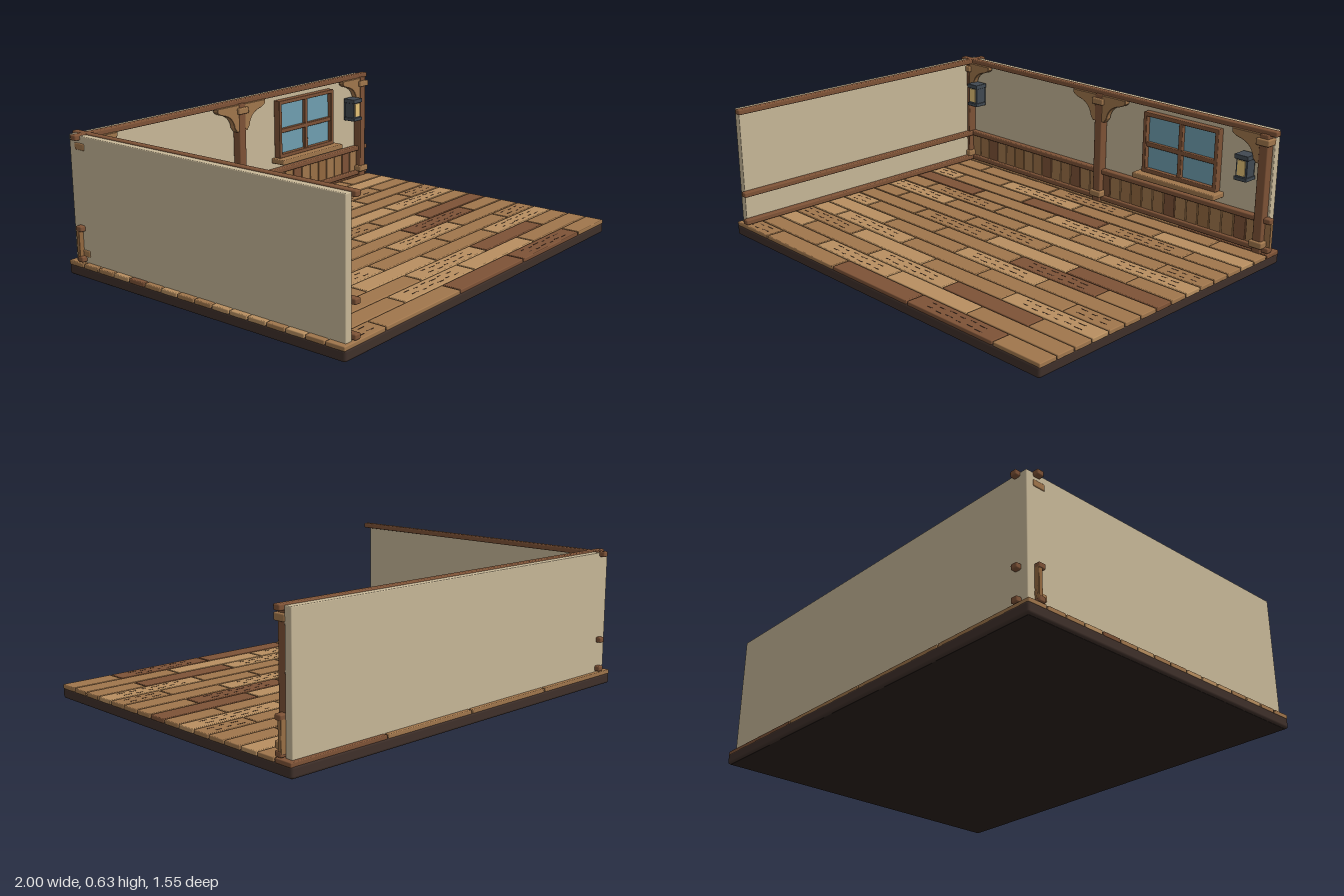
import * as THREE from 'three';
import { RoundedBoxGeometry } from 'three/addons/geometries/RoundedBoxGeometry.js';

const mat = (color) => new THREE.MeshStandardMaterial({ color });
const M = {
  base: mat(0x3f302a), under: mat(0x2a211d), cream: mat(0xc8b898), beam: mat(0x7d5236),
  L: mat(0xb88f60), M: mat(0xa0764c), D: mat(0x7d5236), grain: mat(0x4a3325),
  iron: mat(0x414951), glow: mat(0xe6c377), glass: mat(0x6f9fb0),
};

// Box given by its limits; r > 0 softens the edges
function box(parent, name, m, [x0, x1], [y0, y1], [z0, z1], r = 0) {
  const w = x1 - x0, h = y1 - y0, d = z1 - z0;
  const geo = r > 0 ? new RoundedBoxGeometry(w, h, d, 2, r) : new THREE.BoxGeometry(w, h, d);
  const mesh = new THREE.Mesh(geo, m);
  mesh.position.set((x0 + x1) / 2, (y0 + y1) / 2, (z0 + z1) / 2);
  mesh.name = name;
  parent.add(mesh);
  return mesh;
}

function group(parent, name) {
  const g = new THREE.Group();
  g.name = name;
  parent.add(g);
  return g;
}

// Staggered floor boards, one string of shades per row
const ROWS = ['MMMD', 'MMMMM', 'MLML', 'LMDMM', 'DMLM', 'MMMMM', 'LMLL', 'MMMMM',
  'MMLD', 'LMMDM', 'LMLM', 'LLMMM', 'MLML', 'LMLDM', 'MLLM', 'MMDDM'];

function buildFloor(root) {
  const floor = group(root, 'floorBoards');
  const grain = group(root, 'woodGrain');
  const step = 1.55 / ROWS.length, gap = 0.003;
  ROWS.forEach((shades, row) => {
    const z0 = -0.775 + row * step, shift = row % 2 ? -0.25 : 0;
    [...shades].forEach((shade, i) => {
      const a = Math.max(-1, -1 + shift + i * 0.5), b = Math.min(1, -0.5 + shift + i * 0.5);
      const x0 = a > -1 ? a + gap : a, x1 = b < 1 ? b - gap : b;
      box(floor, 'floorBoard', M[shade], [x0, x1], [0.045, 0.065], [z0 + gap, z0 + step - gap], 0.004);
      if ((i + row) % 3) return;
      // Two dashed grain lines along the board
      const cx = (a + b) / 2, len = (b - a) * 0.7, n = Math.max(3, Math.round(len / 0.06));
      for (const s of [-1, 1]) for (let k = 0; k < n; k++) {
        const x = cx - len / 2 + (k + 0.5 + s * 0.1) * len / n;
        const z = z0 + step / 2 + s * 0.018 + (k % 2 ? 0.003 : -0.003);
        const half = 0.012 + 0.008 * ((k + row) % 3) / 2;
        box(grain, 'grainLine', M.grain, [x - half, x + half], [0.06, 0.0658], [z - 0.0022, z + 0.0022]);
      }
    });
  });
}

// Curved corbel growing from the post towards +x, with a stepped outer end
function bracketGeometry() {
  const s = new THREE.Shape();
  s.moveTo(0, 0.61);
  s.lineTo(0.165, 0.61);
  s.lineTo(0.165, 0.595);
  s.quadraticCurveTo(0.15, 0.58, 0.125, 0.575);
  s.quadraticCurveTo(0.06, 0.56, 0.05, 0.5);
  s.lineTo(0.035, 0.48);
  s.lineTo(0, 0.48);
  s.closePath();
  const g = new THREE.ExtrudeGeometry(s, {
    depth: 0.027, bevelEnabled: true, bevelSize: 0.002, bevelThickness: 0.002, bevelSegments: 1, curveSegments: 10,
  });
  return g.translate(0, 0, -0.701);
}

function buildPosts(root) {
  const left = bracketGeometry();
  const right = left.clone().rotateY(Math.PI).translate(0, 0, -1.375);
  for (const x of [-0.945, 0, 0.945]) {
    const post = group(root, 'post');
    post.position.x = x;
    box(post, 'shaft', M.beam, [-0.022, 0.022], [0.062, 0.615], [-0.715, -0.669], 0.005);
    for (const y of [0.09, 0.565]) {
      box(post, 'collar', M.M, [-0.034, 0.034], [y, y + 0.031], [-0.718, -0.657], 0.006);
    }
    if (x < 0.5) post.add(new THREE.Mesh(left, M.M));
    if (x > -0.5) post.add(new THREE.Mesh(right, M.M));
    post.children.forEach((c) => { if (!c.name) c.name = 'bracket'; });
  }
}

function buildWindow(root) {
  const w = group(root, 'window');
  const x0 = 0.275, x1 = 0.705, y0 = 0.285, y1 = 0.582, t = 0.02, z = [-0.716, -0.678];
  box(w, 'windowGlass', M.glass, [x0 + 0.01, x1 - 0.01], [y0 + 0.01, y1 - 0.01], [-0.716, -0.702]);
  for (const x of [x0, x1 - t]) box(w, 'frameSide', M.beam, [x, x + t], [y0, y1], z, 0.004);
  for (const y of [y0, y1 - t]) box(w, 'frameRail', M.beam, [x0, x1], [y, y + t], z, 0.004);
  box(w, 'mullion', M.beam, [0.479, 0.501], [y0, y1], [-0.716, -0.684], 0.004);
  box(w, 'crossBar', M.beam, [x0, x1], [0.413, 0.435], [-0.716, -0.684], 0.004);
  box(w, 'sill', M.M, [0.252, 0.728], [0.26, 0.286], [-0.716, -0.634], 0.005);
}

function buildLantern(root, x) {
  const l = group(root, 'lantern');
  l.position.x = x;
  box(l, 'backPlate', M.iron, [-0.02, 0.02], [0.4, 0.5], [-0.716, -0.695]);
  box(l, 'body', M.iron, [-0.03, 0.03], [0.4, 0.498], [-0.7, -0.642], 0.003);
  box(l, 'lanternGlass', M.glow, [-0.02, 0.02], [0.414, 0.484], [-0.66, -0.638]);
  box(l, 'cap', M.iron, [-0.036, 0.036], [0.488, 0.51], [-0.705, -0.634], 0.003);
  box(l, 'foot', M.iron, [-0.034, 0.034], [0.39, 0.408], [-0.705, -0.634], 0.003);
}

export function createModel() {
  const root = new THREE.Group();
  root.name = 'room';

  // Base slab with a darker underside
  box(root, 'baseSlab', M.base, [-1, 1], [0.001, 0.052], [-0.775, 0.775], 0.012);
  box(root, 'underside', M.under, [-0.988, 0.988], [0, 0.01], [-0.763, 0.763]);
  buildFloor(root);

  // Plaster walls
  box(root, 'backWall', M.cream, [-0.975, 0.975], [0.06, 0.627], [-0.752, -0.715], 0.004);
  box(root, 'leftWall', M.cream, [-0.975, -0.94], [0.06, 0.627], [-0.752, 0.757], 0.004);

  // Three rails on each wall
  for (const [y0, y1] of [[0.069, 0.094], [0.206, 0.231], [0.608, 0.633]]) {
    box(root, 'backRail', M.beam, [-1, 1], [y0, y1], [-0.717, -0.682], 0.006);
    box(root, 'sideRail', M.beam, [-0.942, -0.91], [y0, y1], [-0.776, 0.776], 0.006);
  }

  // Wainscot boards along the back wall
  const wainscot = group(root, 'wainscot');
  const shades = [mat(0x93683f), M.M, mat(0x9a7046)];
  for (let k = 0; k < 30; k++) {
    const x = -1 + k / 15;
    const m = k % 6 === 3 || k === 12 ? M.D : shades[k % 3];
    box(wainscot, 'wainscotBoard', m, [x + 0.002, x + 1 / 15 - 0.002], [0.08, 0.215], [-0.717, -0.698], 0.003);
  }
  box(wainscot, 'wainscotBacking', M.grain, [-0.99, 0.99], [0.08, 0.215], [-0.717, -0.708]);

  buildPosts(root);
  buildWindow(root);
  for (const x of [-0.865, 0.86]) buildLantern(root, x);
  return root;
}
